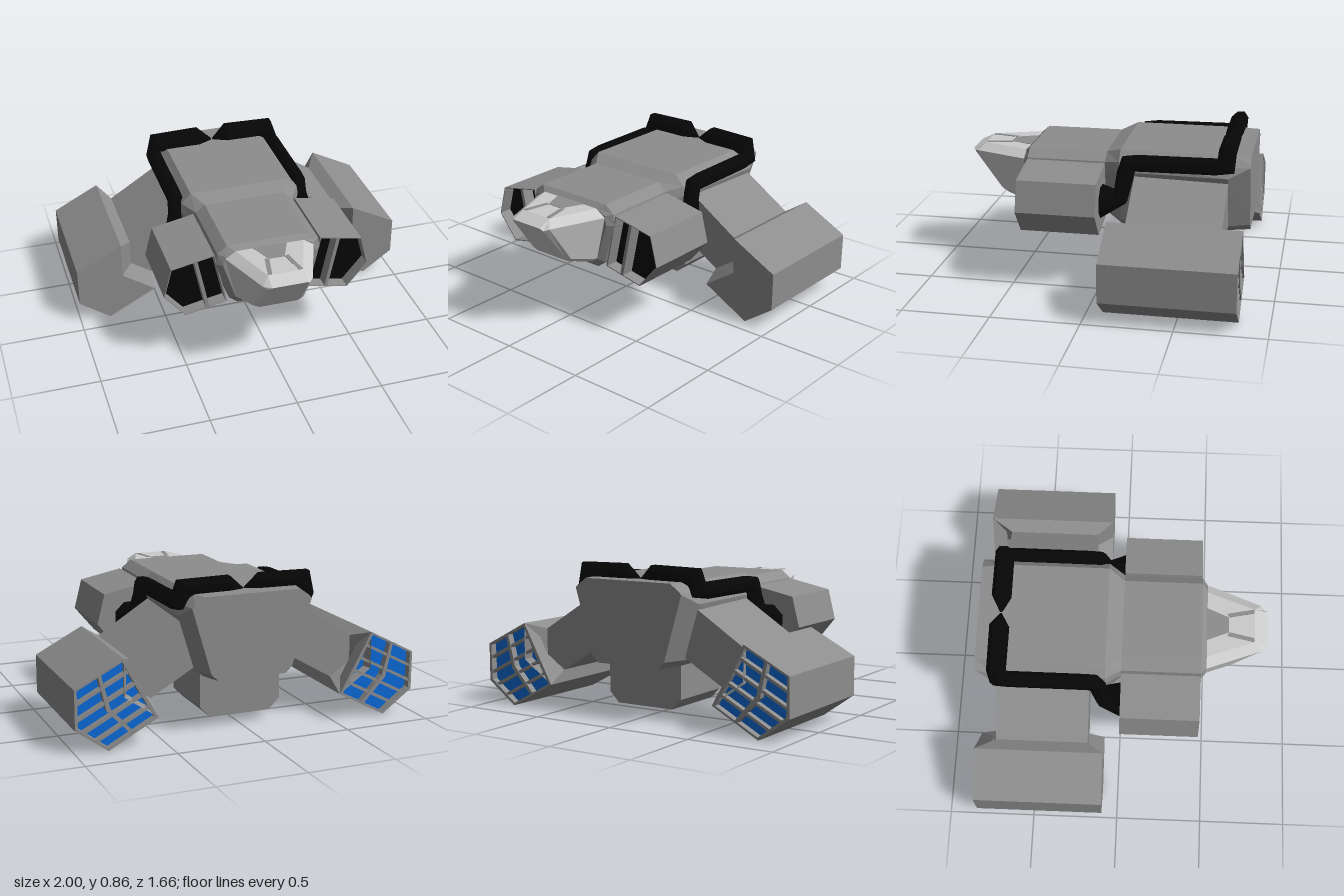
import * as THREE from 'three';

const paint = (color) => new THREE.MeshStandardMaterial({ color, flatShading: true });
const HULL = paint(0x8d8d8d);
const CANOPY = paint(0xcccccc);
const BLACK = paint(0x060606);
const BLUE = paint(0x0a6ad8);

// Skin a list of rings (arrays of [x, y, z]) and close both ends with fans
function loft(rings) {
  const n = rings[0].length, tris = [];
  const mid = (r) => [0, 1, 2].map((k) => r.reduce((s, p) => s + p[k], 0) / n);
  for (let r = 0; r < rings.length - 1; r++) {
    for (let i = 0; i < n; i++) {
      const j = (i + 1) % n, [a, b] = [rings[r], rings[r + 1]];
      tris.push([a[i], a[j], b[j]], [a[i], b[j], b[i]]);
    }
  }
  const first = rings[0], last = rings[rings.length - 1];
  const c0 = mid(first), c1 = mid(last);
  for (let i = 0; i < n; i++) {
    const j = (i + 1) % n;
    tris.push([c0, first[j], first[i]], [c1, last[i], last[j]]);
  }
  // the signed volume tells whether the skin faces outward
  const v = (p) => new THREE.Vector3(...p);
  const volume = tris.reduce((s, [a, b, c]) => s + v(a).dot(v(b).cross(v(c))), 0);
  if (volume < 0) tris.forEach((t) => t.reverse());
  const geo = new THREE.BufferGeometry();
  geo.setAttribute('position', new THREE.Float32BufferAttribute(tris.flat(2), 3));
  geo.computeVertexNormals();
  return geo;
}

// Full ring from the +x half, listed top to bottom
const sym = (half) => [...half, ...half.map(([x, y, z]) => [-x, y, z]).reverse()];
const atZ = (z, half) => sym(half.map(([x, y]) => [x, y, z]));

// Outline extruded from z0 to z1, with optional holes
function prism(points, z0, z1, holes = []) {
  const vec = (list) => list.map((p) => new THREE.Vector2(...p));
  const shape = new THREE.Shape(vec(points));
  holes.forEach((h) => shape.holes.push(new THREE.Path(vec(h))));
  const geo = new THREE.ExtrudeGeometry(shape, { depth: z1 - z0, bevelEnabled: false });
  return geo.translate(0, 0, z0);
}

// Reflect in x, reversing the corner order
function mirrored(geo) {
  const g = geo.index ? geo.toNonIndexed() : geo.clone();
  const p = g.attributes.position, a = p.array;
  for (let i = 0; i < a.length; i += 9) {
    for (let k = 0; k < 3; k++) [a[i + 3 + k], a[i + 6 + k]] = [a[i + 6 + k], a[i + 3 + k]];
  }
  for (let i = 0; i < p.count; i++) p.setX(i, -p.getX(i));
  g.computeVertexNormals();
  return g;
}

const lerp2 = (a, b, t) => [a[0] + (b[0] - a[0]) * t, a[1] + (b[1] - a[1]) * t];

export function createModel() {
  const model = new THREE.Group();
  model.name = 'dropship';
  const add = (name, geo, mat = HULL) => {
    const mesh = new THREE.Mesh(geo, mat);
    mesh.name = name;
    model.add(mesh);
  };
  const pair = (name, geo, mat) => {
    add(name + 'Left', geo, mat);
    add(name + 'Right', mirrored(geo), mat);
  };

  // Hull: slim front, flared rear, tapered tail
  const front = [[0.24, 0.74], [0.295, 0.695], [0.305, 0.63], [0.23, 0.39], [0.18, 0.35]];
  const rear = [[0.3, 0.775], [0.355, 0.715], [0.365, 0.66], [0.29, 0.35], [0.24, 0.31]];
  add('hull', loft([
    atZ(0.485, [[0.2, 0.715], [0.255, 0.685], [0.27, 0.63], [0.2, 0.41], [0.16, 0.38]]),
    atZ(0.455, front), atZ(0, front), atZ(-0.09, rear),
    atZ(-0.71, [[0.3, 0.775], [0.36, 0.715], [0.385, 0.66], [0.29, 0.35], [0.24, 0.31]]),
    atZ(-0.83, [[0.28, 0.775], [0.335, 0.735], [0.35, 0.72], [0.24, 0.35], [0.2, 0.31]]),
  ]));

  // Cockpit nose, raked back below its tip
  const rake = (x, y) => [x, y, 0.83 + 0.75 * (y - 0.675)];
  add('canopy', loft([
    sym([[0.2, 0.715, 0.48], [0.26, 0.675, 0.48], [0.2, 0.41, 0.48], [0.16, 0.38, 0.48]]),
    sym([[0.1, 0.715, 0.76], [0.14, 0.675, 0.8], [0.15, 0.45, 0.645], [0.12, 0.42, 0.62]]),
    sym([rake(0.1, 0.68), rake(0.115, 0.665), rake(0.125, 0.45), rake(0.11, 0.43)]),
  ]), CANOPY);
  // grey framing laid on the canopy roof (outlines in x and z)
  const roof = (pts) => prism(pts, -0.717, -0.7).rotateX(Math.PI / 2);
  add('canopySpine', roof([[-0.1, 0.48], [0.1, 0.48], [0.045, 0.61], [-0.045, 0.61]]));
  pair('canopyFrame', roof([[0.045, 0.61], [0.068, 0.6], [0.1, 0.755], [0.075, 0.755]]));

  // Belly pod with chamfered lower edges
  add('bellyPod', prism([[-0.24, 0.36], [-0.24, 0.12], [-0.18, 0.06], [0.18, 0.06], [0.24, 0.12], [0.24, 0.36]], -0.67, -0.27));

  // Side intakes: body, split frame and dark recess
  const intake = [[0.24, 0.37], [0.485, 0.32], [0.605, 0.465], [0.56, 0.64], [0.31, 0.69]];
  pair('intake', prism(intake, 0, 0.37));
  pair('intakeFrame', prism(intake, 0.37, 0.455, [
    [[0.365, 0.35], [0.483, 0.326], [0.6, 0.467], [0.556, 0.636], [0.428, 0.662]],
    [[0.25, 0.373], [0.345, 0.354], [0.408, 0.665], [0.315, 0.684]],
  ]));
  pair('intakeDark', prism(intake.map((p) => lerp2(p, [0.43, 0.5], 0.01)), 0.36, 0.38), BLACK);

  // Engine: angled section, closed to a straight inner edge at the exhaust
  const inner = [[0.73, 0.49], [0.73, 0.28], [0.54, 0.15]];
  const outer = [[1, 0.35], [1, 0.13], [0.82, 0]];
  const exhaustInner = [inner[0], lerp2(inner[0], inner[2], 0.5), inner[2]];
  // point in the exhaust by u (inner to outer) and v (top to bottom)
  const at = (u, v) => {
    const i = v < 0.5 ? 0 : 1, t = v * 2 - i;
    return lerp2(lerp2(exhaustInner[i], exhaustInner[i + 1], t), lerp2(outer[i], outer[i + 1], t), u);
  };
  const cell = (u0, u1, v0, v1) => [at(u0, v0), at(u0, 0.5), at(u0, v1), at(u1, v1), at(u1, 0.5), at(u1, v0)];
  const columns = [[0.05, 0.47], [0.53, 0.95]];
  pair('engine', prism([...inner, ...[...outer].reverse()], -0.75, -0.09));
  pair('exhaustRim', prism(cell(0, 1, 0, 1), -0.83, -0.75, columns.map(([a, b]) => cell(a, b, 0.03, 0.97))));
  pair('exhaustGlow', prism(cell(0.02, 0.98, 0.02, 0.98), -0.79, -0.755), BLUE);
  // slats across both exhaust columns
  for (const [u0, u1] of columns) {
    for (let k = 1; k <= 4; k++) {
      const v = k / 5 - 0.02;
      const slat = [at(u0 - 0.01, v), at(u1 + 0.01, v), at(u1 + 0.01, v + 0.04), at(u0 - 0.01, v + 0.04)];
      pair('exhaustSlat', prism(slat, -0.825, -0.78));
    }
  }

  // Strut: flared at the engine, running up into the hull
  const band = (pts, z0, z1) => [...pts.map((p) => [...p, z0]), ...[...pts].reverse().map((p) => [...p, z1])];
  pair('strut', loft([
    band(inner, -0.09, -0.83),
    band([[0.66, 0.45], [0.66, 0.3], [0.54, 0.22]], -0.18, -0.71),
    band([[0.32, 0.665], [0.27, 0.5], [0.24, 0.395]], -0.18, -0.71),
  ]));

  // Black duct: from the intake, over the shoulder and across the tail
  const duct = (c, u, w) => [0, 1, 2, 3, 4, 5, 6, 7].map((i) => {
    const a = ((i + 0.5) * Math.PI) / 4, k = 1 / Math.cos(Math.PI / 8);
    return c.map((m, j) => m + k * (Math.cos(a) * u[j] + Math.sin(a) * w[j]));
  });
  pair('duct', loft([
    duct([0.405, 0.495, 0.01], [0.095, 0, 0], [0, 0.095, 0]),
    duct([0.395, 0.525, -0.107], [0.06, 0, 0], [0, 0.03, 0.035]),
    duct([0.38, 0.645, -0.13], [0.045, 0, 0], [0, 0.03, 0.042]),
    duct([0.38, 0.717, -0.15], [0.042, 0, 0], [0, 0.038, 0.036]),
    duct([0.38, 0.723, -0.2], [0.042, 0, 0], [0, 0.044, 0]),
    duct([0.38, 0.727, -0.64], [0.042, 0, 0], [0, 0.044, 0]),
    duct([0.378, 0.733, -0.698], [0.042, 0, 0], [0, 0.035, 0.045]),
    duct([0.35, 0.8, -0.7], [0.035, 0.05, -0.008], [0, 0, 0.05]),
    duct([0.09, 0.805, -0.7], [0, 0.05, -0.012], [0, 0, 0.05]),
    duct([0.004, 0.775, -0.7], [0, 0.006, 0], [0, 0, 0.006]),
  ]), BLACK);

  return model;
}
